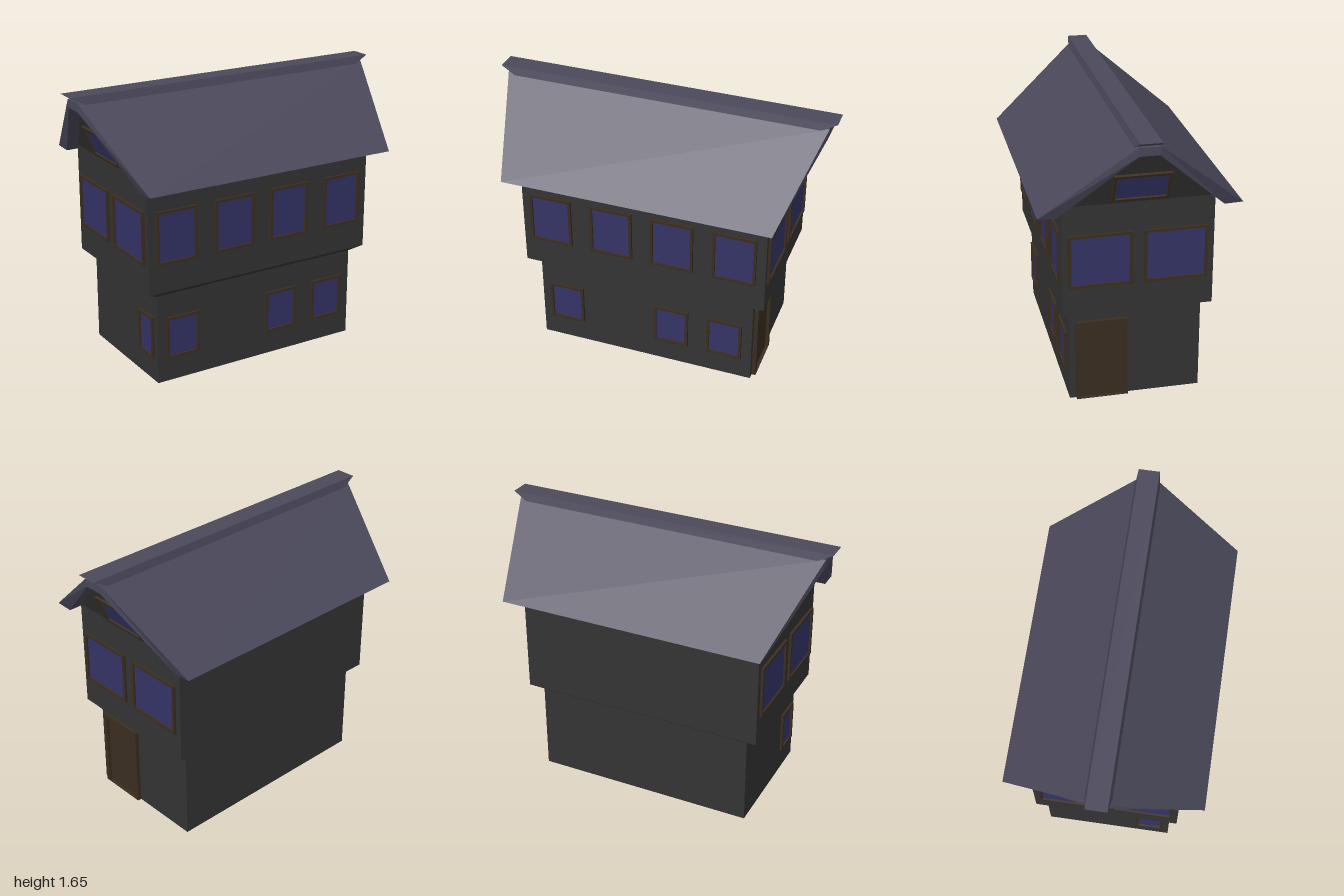
import * as THREE from 'three';

const mat = (name, color, side = THREE.FrontSide) => {
  const m = new THREE.MeshStandardMaterial({ color, side });
  m.name = name;
  return m;
};

// Flat-shaded surface from a list of four-cornered faces
function quadMesh(name, quads, material) {
  const pos = [];
  for (const [a, b, c, d] of quads) pos.push(...a, ...b, ...c, ...a, ...c, ...d);
  const g = new THREE.BufferGeometry();
  g.setAttribute('position', new THREE.Float32BufferAttribute(pos, 3));
  g.computeVertexNormals();
  const mesh = new THREE.Mesh(g, material);
  mesh.name = name;
  return mesh;
}

// Rectangle of half sizes x, z at height y
const ring = (x, y, z) => [[x, y, z], [x, y, -z], [-x, y, -z], [-x, y, z]];

// Side faces between stacked rectangles
function stack(rings) {
  const quads = [];
  for (let r = 0; r < rings.length - 1; r++) {
    const lo = rings[r], hi = rings[r + 1];
    for (let i = 0; i < 4; i++) {
      const j = (i + 1) % 4;
      quads.push([lo[i], lo[j], hi[j], hi[i]]);
    }
  }
  return quads;
}

export function createModel() {
  const house = new THREE.Group();
  house.name = 'house';
  const wall = mat('dark plaster', 0x333333, THREE.DoubleSide);
  const roofing = mat('slate', 0x4a485a, THREE.DoubleSide);
  const glass = mat('blue glass', 0x333366);
  const wood = mat('dark wood', 0x3a2d20);

  // Walls: ground floor, overhanging upper floor, open underneath
  const LX = 0.667, LZ = 0.38, UX = 0.74, UZ = 0.425;
  house.add(quadMesh('walls', stack([
    ring(LX, 0, LZ), ring(LX, 0.54, LZ), ring(UX, 0.575, UZ), ring(UX, 1.23, UZ),
  ]), wall));

  // Gables lean outwards with the roof ends
  const LEAN = 0.43;
  const gableX = (y) => UX + (y - 1.23) * LEAN;
  for (const s of [1, -1]) {
    const p = (y, z) => [s * gableX(y), y, s * z];
    house.add(quadMesh(s > 0 ? 'leftGable' : 'rightGable', [
      [p(1.23, UZ), p(1.23, -UZ), p(1.575, -0.05), p(1.575, 0.05)],
    ], wall));
  }

  // Roof: thick bent slab, longer at the ridge than at the eaves
  const roofX = (y) => Math.min(0.957, 0.797 + (y - 1.2) * LEAN);
  const outer = [[0.565, 1.2], [0.06, 1.62], [-0.06, 1.62], [-0.565, 1.2]];
  const inner = [[0.46, 1.195], [0.055, 1.572], [-0.055, 1.572], [-0.46, 1.195]];
  const at = (s, [z, y]) => [s * roofX(y), y, z];
  const roof = [];
  for (let i = 0; i < 3; i++) {
    const [o, p, q, r] = [outer[i], outer[i + 1], inner[i], inner[i + 1]];
    roof.push([at(-1, o), at(1, o), at(1, p), at(-1, p)]);
    roof.push([at(1, q), at(-1, q), at(-1, r), at(1, r)]);
    roof.push([at(1, q), at(1, r), at(1, p), at(1, o)].reverse());
    roof.push([at(-1, q), at(-1, r), at(-1, p), at(-1, o)]);
  }
  // Eave undersides
  roof.push([at(1, outer[0]), at(-1, outer[0]), at(-1, inner[0]), at(1, inner[0])]);
  roof.push([at(-1, outer[3]), at(1, outer[3]), at(1, inner[3]), at(-1, inner[3])]);
  // End faces point outwards
  for (let i = 0; i < 3; i++) {
    roof[i * 4 + 2].reverse();
    roof[i * 4 + 3].reverse();
  }
  for (let i = 0; i < 3; i++) {
    const [o, p, q, r] = [outer[i], outer[i + 1], inner[i], inner[i + 1]];
    roof[i * 4 + 2] = [at(1, o), at(1, q), at(1, r), at(1, p)];
    roof[i * 4 + 3] = [at(-1, o), at(-1, p), at(-1, r), at(-1, q)];
  }
  house.add(quadMesh('roof', roof, roofing));

  // Ridge cap with flared ends
  const capLow = ring(0.895, 1.6, 0.075), capTop = ring(1, 1.655, 0.06);
  house.add(quadMesh('ridgeCap',
    [...stack([capLow, capTop]), capTop, [...capLow].reverse()], roofing));

  // Framed opening facing +z, centred on its own origin
  function framed(name, w, h, border, depth, panelMat, openBottom = false) {
    const g = new THREE.Group();
    g.name = name;
    const x = w / 2, y = h / 2, ix = x - border, iy = y - border;
    const iyLow = openBottom ? -y + 0.002 : -iy;
    const shape = new THREE.Shape([[-x, -y], [x, -y], [x, y], [-x, y]]
      .map((p) => new THREE.Vector2(...p)));
    shape.holes.push(new THREE.Path([[-ix, iyLow], [-ix, iy], [ix, iy], [ix, iyLow]]
      .map((p) => new THREE.Vector2(...p))));
    const frame = new THREE.Mesh(
      new THREE.ExtrudeGeometry(shape, { depth: depth + 0.01, bevelEnabled: false }), wood);
    frame.position.z = -0.01;
    frame.name = 'frame';
    const panel = new THREE.Mesh(new THREE.BoxGeometry(2 * ix, iy - iyLow, 0.008), panelMat);
    panel.position.y = (iy + iyLow) / 2;
    panel.name = 'panel';
    g.add(frame, panel);
    house.add(g);
    return g;
  }

  // Front windows
  for (const x of [-0.505, 0.165, 0.498])
    framed('groundWindow', 0.215, 0.255, 0.016, 0.016, glass).position.set(x, 0.27, LZ);
  for (const x of [-0.562, -0.187, 0.183, 0.556])
    framed('upperWindow', 0.257, 0.315, 0.016, 0.016, glass).position.set(x, 0.903, UZ);

  // Side windows and tilted attic windows
  for (const s of [1, -1]) {
    for (const z of [0.214, -0.21]) {
      const w = framed('sideWindow', 0.358, 0.315, 0.016, 0.016, glass);
      w.position.set(s * UX, 0.903, z);
      w.rotation.y = s * Math.PI / 2;
    }
    const attic = framed('atticWindow', 0.315, 0.19, 0.016, 0.016, glass);
    attic.position.set(s * gableX(1.338), 1.338, 0);
    attic.rotation.set(Math.atan(LEAN), s * Math.PI / 2, 0, 'YXZ');
  }
  const small = framed('groundSideWindow', 0.17, 0.255, 0.016, 0.016, glass);
  small.position.set(-LX, 0.27, 0.26);
  small.rotation.y = -Math.PI / 2;

  // Door
  const door = framed('door', 0.3, 0.495, 0.026, 0.024, wood, true);
  door.position.set(LX, 0.2475, 0.193);
  door.rotation.y = Math.PI / 2;

  return house;
}
